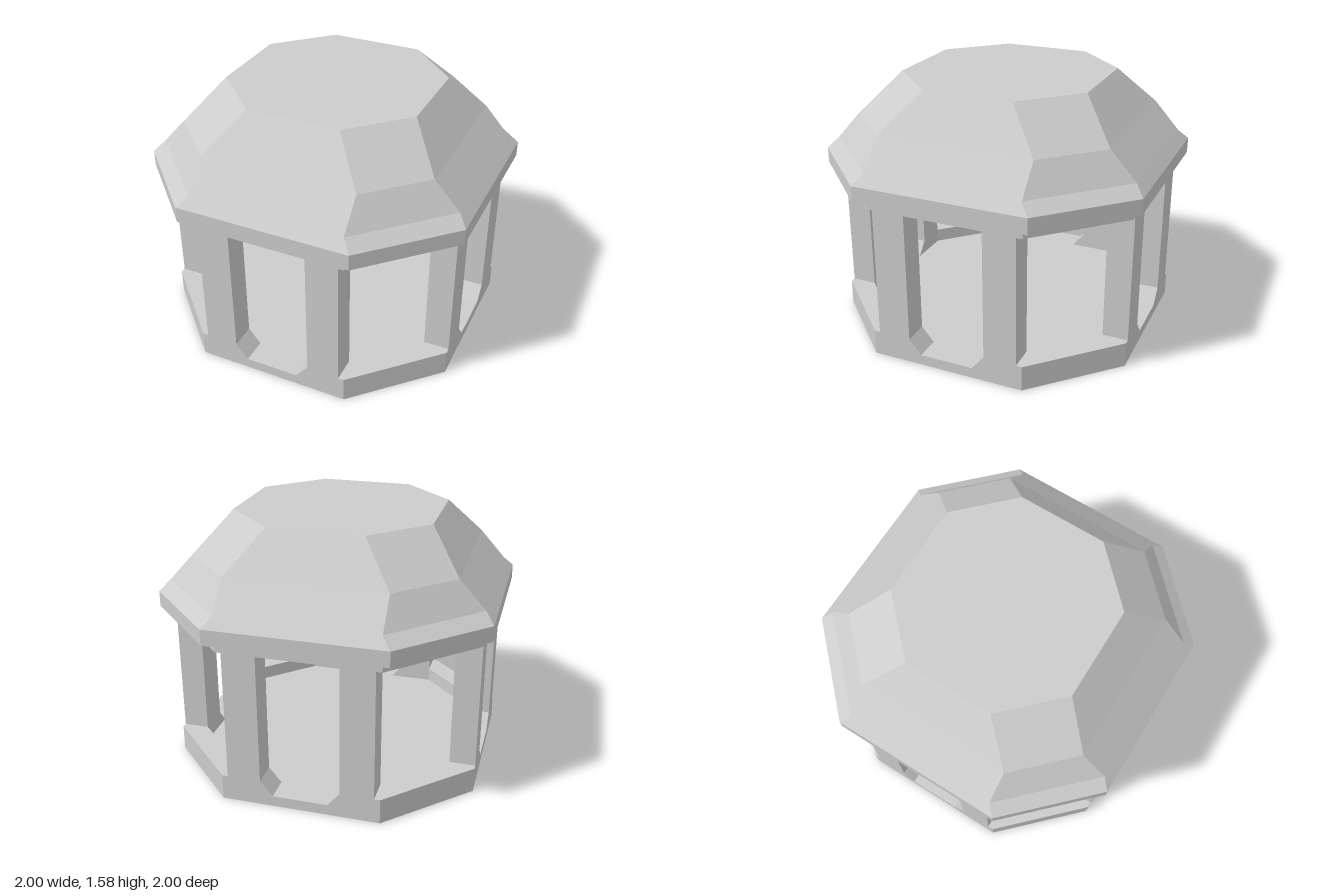
import * as THREE from 'three';

const material = new THREE.MeshStandardMaterial({ color: 0xcccccc, flatShading: true });

// Corners of a square with cut corners: ax, az = half extents, bx, bz = half lengths of the straight sides
const octagon = (ax, az, bx, bz) => [
  [bx, az], [ax, bz], [ax, -bz], [bx, -az], [-bx, -az], [-ax, -bz], [-ax, bz], [-bx, az],
];

const polygon = (points) => points.map(([x, y]) => new THREE.Vector2(x, y));

// Horizontal slab between y0 and y1 from a plan outline, with an optional hole
function slab(points, y0, y1, hole) {
  const shape = new THREE.Shape(polygon(points));
  if (hole) shape.holes.push(new THREE.Path(polygon(hole)));
  return new THREE.ExtrudeGeometry(shape, { depth: y1 - y0, bevelEnabled: false })
    .rotateX(-Math.PI / 2)
    .translate(0, y0, 0);
}

// Solid skinned over stacked octagons, closed at top and bottom
function loft(levels) {
  const rings = levels.map(([ax, az, bx, bz, y]) =>
    octagon(ax, az, bx, bz).map(([x, z]) => [x, y, z]));
  const pos = [];
  const tri = (a, b, c) => pos.push(...a, ...b, ...c);
  for (let r = 0; r < rings.length - 1; r++) {
    for (let i = 0; i < 8; i++) {
      const j = (i + 1) % 8;
      const [lo, hi] = [rings[r], rings[r + 1]];
      tri(lo[i], lo[j], hi[j]);
      tri(lo[i], hi[j], hi[i]);
    }
  }
  const [bottom, top] = [rings[0], rings[rings.length - 1]];
  for (let i = 1; i < 7; i++) {
    tri(top[0], top[i], top[i + 1]);
    tri(bottom[0], bottom[i + 1], bottom[i]);
  }
  const geometry = new THREE.BufferGeometry();
  geometry.setAttribute('position', new THREE.Float32BufferAttribute(pos, 3));
  geometry.computeVertexNormals();
  return geometry;
}

export function createModel() {
  const model = new THREE.Group();
  model.name = 'pavilion';
  const add = (name, geometry, turn = 0) => {
    const mesh = new THREE.Mesh(geometry, material);
    mesh.name = name;
    mesh.rotation.y = turn;
    model.add(mesh);
  };

  const outer = octagon(0.94, 0.94, 0.475, 0.475);
  const inner = octagon(0.785, 0.785, 0.44, 0.44);
  add('floor', slab(outer, 0, 0.065));
  add('lintelRing', slab(outer, 0.95, 1.01, inner));

  // Pillar outline with a sloped foot towards the doorway
  const pillar = (side) => {
    const outline = [[0.165, 0.065], [0.44, 0.065], [0.44, 0.95], [0.24, 0.95], [0.24, 0.155]];
    const shape = new THREE.Shape(polygon(outline.map(([x, y]) => [side * x, y])));
    return new THREE.ExtrudeGeometry(shape, { depth: 0.155, bevelEnabled: false })
      .translate(0, 0, 0.785);
  };
  // Low sill closing each diagonal side
  const sill = slab([[0.44, 0.94], [0.44, 0.785], [0.785, 0.44], [0.94, 0.44],
    [0.94, 0.475], [0.475, 0.94]], 0.065, 0.155);

  for (let k = 0; k < 4; k++) {
    const turn = k * Math.PI / 2;
    add('pillarLeft', pillar(1), turn);
    add('pillarRight', pillar(-1), turn);
    add('cornerSill', sill, turn);
  }

  // Eave band, main slopes and stepped corner slopes
  add('roof', loft([
    [1, 1, 0.527, 0.527, 1.01],
    [1, 1, 0.527, 0.527, 1.105],
    [0.945, 0.945, 0.473, 0.473, 1.167],
    [0.79, 0.79, 0.473, 0.473, 1.338],
    [0.6, 0.587, 0.284, 0.272, 1.575],
  ]));
  return model;
}
